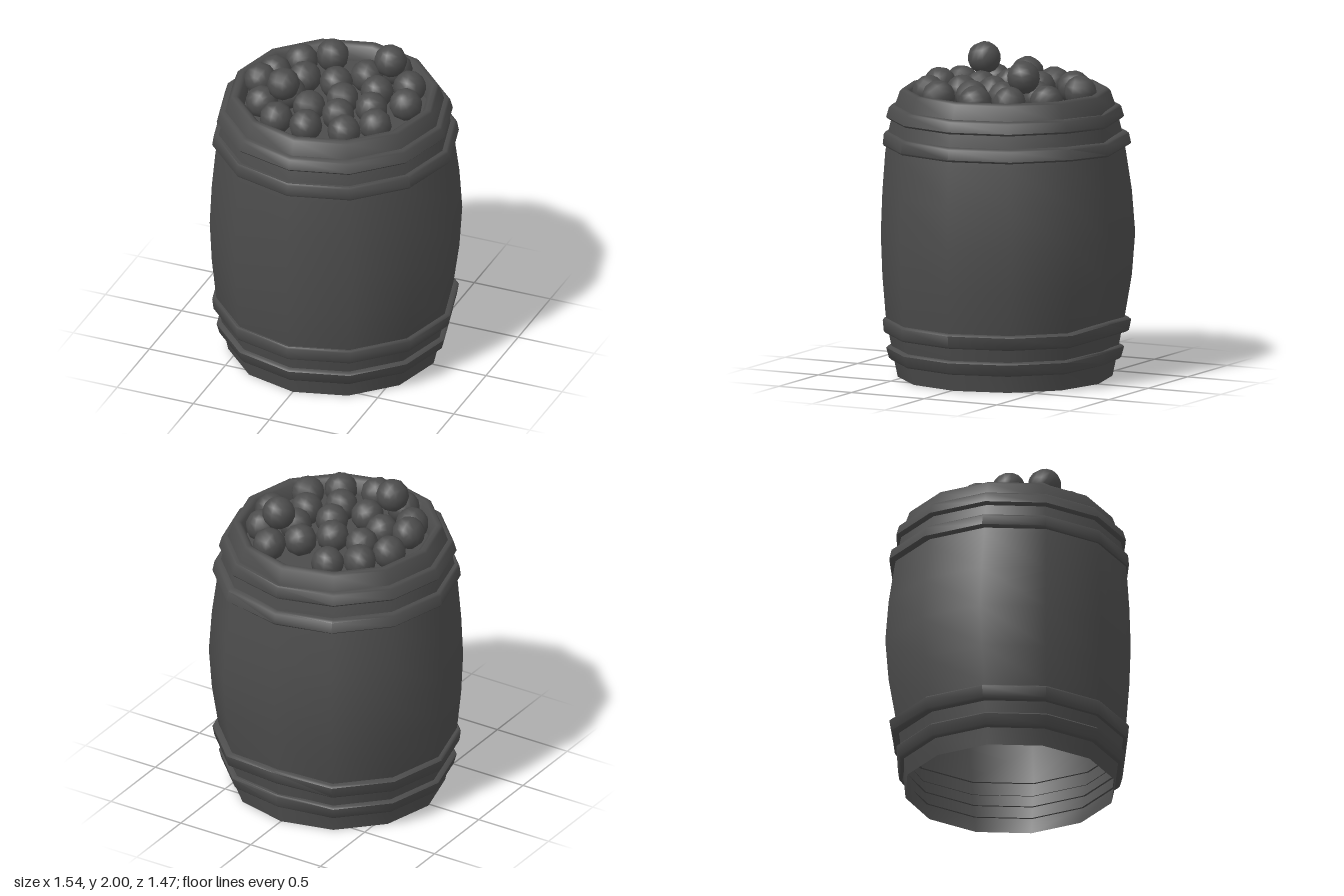
import * as THREE from 'three';
import { toCreasedNormals } from 'three/addons/utils/BufferGeometryUtils.js';

const SIDES = 12;
const material = new THREE.MeshStandardMaterial({ color: 0x4c4c4c });
const shellMaterial = new THREE.MeshStandardMaterial({ color: 0x4c4c4c, side: THREE.DoubleSide });

// Twelve-sided turned part; the seam at the back bulges less than the rest
function turned(name, profile, backOut = 0, backLift = 0) {
  const geometry = new THREE.LatheGeometry(profile.map(([r, y]) => new THREE.Vector2(r, y)), SIDES);
  const p = geometry.attributes.position;
  for (let i = 0; i < p.count; i++) {
    const x = p.getX(i);
    let z = p.getZ(i);
    const r = Math.hypot(x, z);
    if (Math.abs(x) < 1e-4 && z < -0.635) {
      z = -(0.635 + (r - 0.635) * 0.45 + backOut);
      p.setY(i, p.getY(i) + backLift);
    }
    // Wide rings sit slightly further back than narrow ones
    p.setZ(i, z - 0.035 + Math.min(0.02, (0.77 - r) * 0.4));
  }
  const mesh = new THREE.Mesh(toCreasedNormals(geometry, 0.9), shellMaterial);
  mesh.name = name;
  return mesh;
}

export function createModel() {
  const group = new THREE.Group();
  group.name = 'barrelOfBalls';

  // Open-bottomed wall, running over the rim and down to the filling
  group.add(turned('barrelWall', [
    [0.65, 0], [0.675, 0.12], [0.7, 0.25], [0.725, 0.38], [0.755, 0.62], [0.77, 0.88],
    [0.755, 1.14], [0.728, 1.38], [0.705, 1.51], [0.675, 1.64], [0.637, 1.75],
    [0.625, 1.763], [0.6, 1.763], [0.58, 1.75], [0.56, 1.66],
  ]));

  // Hoops: bottom, top, lower radius, upper radius, lift at the back seam
  const hoops = [
    ['bottomHoop', 0.105, 0.19, 0.703, 0.72, 0.012],
    ['lowerHoop', 0.27, 0.36, 0.742, 0.752, 0.02],
    ['upperHoop', 1.415, 1.5, 0.752, 0.742, -0.02],
    ['topHoop', 1.58, 1.663, 0.72, 0.703, -0.015],
  ];
  for (const [name, y0, y1, r0, r1, lift] of hoops) {
    const b = 0.012;
    group.add(turned(name, [
      [r0 - 0.045, y0], [r0 - b, y0], [r0, y0 + b], [r1, y1 - b], [r1 - b, y1], [r1 - 0.045, y1],
    ], 0.016, lift));
  }

  // Floor under the balls
  const floor = new THREE.Mesh(new THREE.CircleGeometry(0.56, SIDES).rotateX(-Math.PI / 2), shellMaterial);
  floor.name = 'fillingFloor';
  floor.position.set(0, 1.66, -0.015);
  group.add(floor);

  // Balls: x, z and, where raised, y
  const balls = [
    [-0.19, -0.43], [-0.34, -0.305], [0.23, -0.425], [0.1, -0.28], [0.39, -0.255], [0.255, -0.28, 1.885],
    [-0.435, -0.12], [-0.24, -0.12], [-0.04, -0.135], [0.23, -0.13], [0.45, -0.055],
    [-0.45, 0.075, 1.79], [-0.255, 0.085], [0.07, 0.03], [0.275, 0.065],
    [-0.365, 0.25], [-0.225, 0.25, 1.9], [-0.08, 0.195], [0.12, 0.215], [0.375, 0.24],
    [-0.21, 0.395], [0, 0.435, 1.76], [0.23, 0.385],
  ];
  const ballGeometry = new THREE.SphereGeometry(0.101, 10, 8);
  balls.forEach(([x, z, y = 1.745], i) => {
    const ball = new THREE.Mesh(ballGeometry, material);
    ball.name = 'ball' + (i + 1);
    ball.position.set(x, y, z);
    ball.rotation.set(i * 0.7, i * 1.3, 0);
    group.add(ball);
  });
  return group;
}
